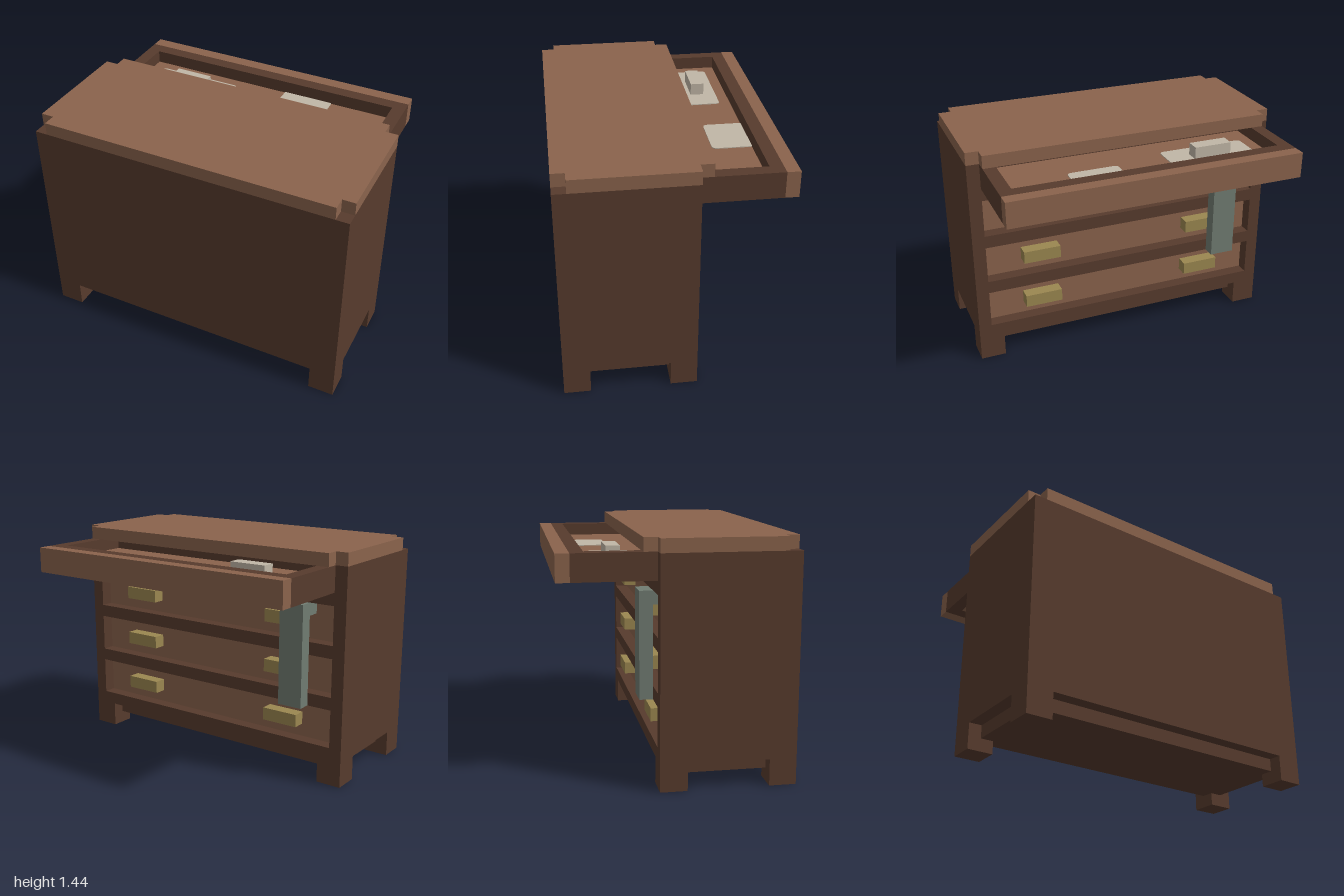
import * as THREE from 'three';

export function createModel() {
  const root = new THREE.Group();
  root.name = 'dresser';
  const mat = (name, color) => {
    const m = new THREE.MeshStandardMaterial({ color });
    m.name = name;
    return m;
  };
  const darkWood = mat('darkWood', 0x573b2d);
  const lightWood = mat('lightWood', 0x8a634c);
  const brass = mat('brass', 0x9b8750);
  const cloth = mat('greenCloth', 0x717c72);
  const linen = mat('paleLinen', 0xc0b6a6);

  // Box from its min and max along each axis
  const box = (name, m, x0, x1, y0, y1, z0, z1, parent = root) => {
    const mesh = new THREE.Mesh(new THREE.BoxGeometry(x1 - x0, y1 - y0, z1 - z0), m);
    mesh.position.set((x0 + x1) / 2, (y0 + y1) / 2, (z0 + z1) / 2);
    mesh.name = name;
    parent.add(mesh);
    return mesh;
  };
  // Horizontal slab from an outline of [x, z] points
  const slab = (name, m, shape, y0, y1, parent = root) => {
    const g = new THREE.ExtrudeGeometry(shape, { depth: y1 - y0, bevelEnabled: false, curveSegments: 4 });
    g.rotateX(-Math.PI / 2);
    const mesh = new THREE.Mesh(g, m);
    mesh.position.y = y0;
    mesh.name = name;
    parent.add(mesh);
  };

  // Carcass, plinth, legs and back-facing frame
  box('carcass', darkWood, -1, 1, 0.16, 1.36, -0.03, 0.68);
  box('plinth', darkWood, -0.92, 0.92, 0.08, 0.16, -0.04, 0.6);
  for (const s of [-1, 1]) {
    const [a, b] = s < 0 ? [-1, -0.84] : [0.84, 1];
    box('leg', darkWood, a, b, 0, 0.16, 0.52, 0.68);
    box('leg', darkWood, a, b, 0, 0.16, -0.12, 0.04);
    const [c, d] = s < 0 ? [-1, -0.92] : [0.92, 1];
    box('cornerPost', darkWood, c, d, 0.16, 1.36, -0.12, -0.03);
  }
  for (let i = 0; i < 4; i++) {
    const y = 0.16 + i * 0.32;
    box('rail', darkWood, -0.92, 0.92, y, y + 0.08, -0.12, -0.03);
  }

  // Closed drawers with two handles each
  for (let i = 0; i < 3; i++) {
    const y = 0.24 + i * 0.32;
    const drawer = new THREE.Group();
    drawer.name = 'closedDrawer';
    root.add(drawer);
    box('drawerFront', lightWood, -0.92, 0.92, y, y + 0.24, -0.04, -0.01, drawer);
    for (const x of [-0.56, 0.56])
      box('handle', brass, x - 0.12, x + 0.12, y + 0.08, y + 0.16, -0.12, -0.04, drawer);
  }

  // Top board: front corners notched, narrower lip over the open drawer
  const half = [[0.92, -0.2], [0.92, -0.12], [1, -0.12], [1, 0.6], [0.92, 0.6], [0.92, 0.68]];
  const outline = [...half, ...half.map(([x, z]) => [-x, z]).reverse()];
  slab('topBoard', lightWood, new THREE.Shape(outline.map(([x, z]) => new THREE.Vector2(x, -z))), 1.36, 1.44);

  // Open drawer
  const open = new THREE.Group();
  open.name = 'openDrawer';
  root.add(open);
  box('openDrawerFront', lightWood, -0.92, 0.92, 1.2, 1.36, -0.68, -0.6, open);
  box('openDrawerInnerFront', darkWood, -0.92, 0.92, 1.2, 1.36, -0.6, -0.52, open);
  box('openDrawerSide', darkWood, -0.92, -0.84, 1.2, 1.36, -0.52, -0.03, open);
  box('openDrawerSide', darkWood, 0.84, 0.92, 1.2, 1.36, -0.52, -0.03, open);
  box('openDrawerFloor', lightWood, -0.84, 0.84, 1.2, 1.28, -0.52, -0.03, open);

  // Folded linen set into the drawer floor, with a small box on top
  const rounded = (x0, x1, z0, z1, r) => {
    const s = new THREE.Shape(), y0 = -z1, y1 = -z0;
    s.moveTo(x0 + r, y0);
    s.lineTo(x1 - r, y0).quadraticCurveTo(x1, y0, x1, y0 + r);
    s.lineTo(x1, y1 - r).quadraticCurveTo(x1, y1, x1 - r, y1);
    s.lineTo(x0 + r, y1).quadraticCurveTo(x0, y1, x0, y1 - r);
    s.lineTo(x0, y0 + r).quadraticCurveTo(x0, y0, x0 + r, y0);
    return s;
  };
  slab('largeLinen', linen, rounded(-0.76, -0.2, -0.45, -0.19, 0.03), 1.196, 1.285, open);
  slab('smallLinen', linen, rounded(0.115, 0.44, -0.535, -0.28, 0.03), 1.196, 1.285, open);
  box('smallBox', linen, -0.6, -0.36, 1.28, 1.36, -0.37, -0.285, open);

  // Cloth hanging out of the upper closed drawer
  box('hangingCloth', cloth, -0.76, -0.6, 0.48, 1.12, -0.2, -0.12);
  box('clothFold', cloth, -0.76, -0.6, 1.04, 1.12, -0.12, -0.03);

  return root;
}
